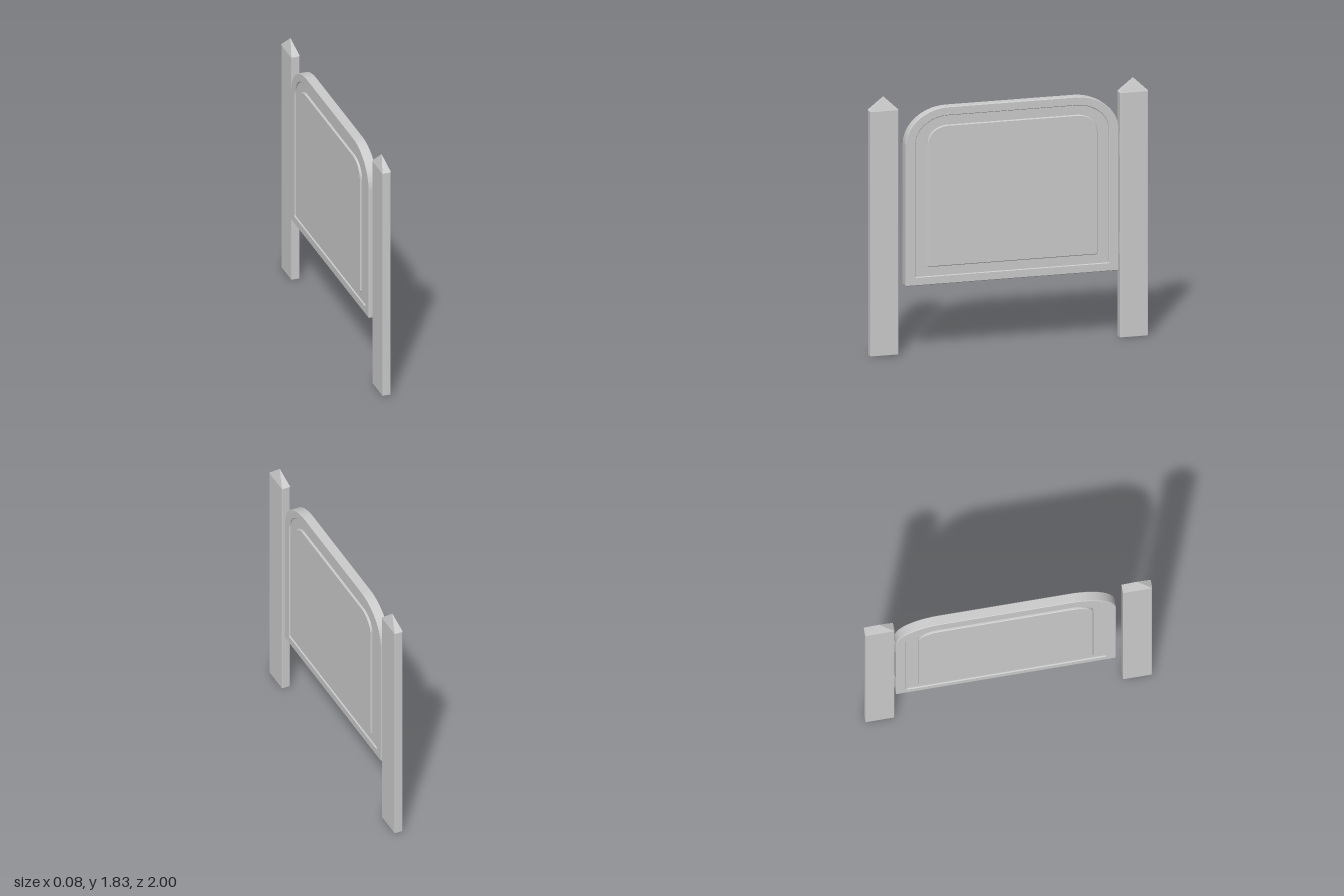
import * as THREE from 'three';
import { RoundedBoxGeometry } from 'three/addons/geometries/RoundedBoxGeometry.js';

const grey = new THREE.MeshStandardMaterial({ color: 0xcccccc });
grey.name = 'plain grey';

// Trace a panel outline (z across, y up) with elliptical top and small bottom corners
function outline(path, z0, z1, y0, y1, rz, ry, foot) {
  path.moveTo(z0 + foot, y0);
  path.lineTo(z1 - foot, y0);
  path.absellipse(z1 - foot, y0 + foot, foot, foot, -Math.PI / 2, 0, false, 0);
  path.lineTo(z1, y1 - ry);
  path.absellipse(z1 - rz, y1 - ry, rz, ry, 0, Math.PI / 2, false, 0);
  path.lineTo(z0 + rz, y1);
  path.absellipse(z0 + rz, y1 - ry, rz, ry, Math.PI / 2, Math.PI, false, 0);
  path.lineTo(z0, y0 + foot);
  path.absellipse(z0 + foot, y0 + foot, foot, foot, Math.PI, Math.PI * 1.5, false, 0);
  return path;
}

// Extrude an outline into a slab of the given full thickness, facing along x
function slab(shape, thickness, bevel) {
  const geo = new THREE.ExtrudeGeometry(shape, {
    depth: thickness - 2 * bevel, bevelEnabled: bevel > 0, bevelThickness: bevel,
    bevelSize: bevel, bevelOffset: -bevel, bevelSegments: 1, curveSegments: 10,
  });
  geo.translate(0, 0, bevel - thickness / 2);
  geo.rotateY(-Math.PI / 2);
  return geo;
}

function add(parent, name, geometry, x = 0, y = 0, z = 0) {
  const mesh = new THREE.Mesh(geometry, grey);
  mesh.name = name;
  mesh.position.set(x, y, z);
  parent.add(mesh);
  return mesh;
}

// Post with softened edges and a pointed cap
function makePost(name, z) {
  const post = new THREE.Group();
  post.name = name;
  const width = 0.204, depth = 0.062, height = 1.735, tip = 0.095;
  add(post, 'postShaft', new RoundedBoxGeometry(depth, height, width, 1, 0.006), 0, height / 2, 0);
  const cap = new THREE.ConeGeometry(Math.SQRT1_2, tip, 4, 1, false).toNonIndexed();
  cap.rotateY(Math.PI / 4);
  cap.scale(depth, 1, width);
  cap.computeVertexNormals();
  add(post, 'postCap', cap, 0, height - 0.001 + tip / 2, 0);
  post.position.z = z;
  return post;
}

export function createModel() {
  const model = new THREE.Group();
  model.name = 'gate';
  model.add(makePost('latchPost', 0.898), makePost('hingePost', -0.896));

  const door = new THREE.Group();
  door.name = 'door';
  door.position.x = -0.002;
  model.add(door);

  // Outer frame with an arched opening
  const frame = outline(new THREE.Shape(), -0.786, 0.747, 0.48, 1.728, 0.31, 0.255, 0.008);
  frame.holes.push(outline(new THREE.Path(), -0.715, 0.675, 0.54, 1.667, 0.235, 0.19, 0.008));
  add(door, 'doorFrame', slab(frame, 0.07, 0.004));

  // Sunken sheet behind the frame opening
  const sheet = outline(new THREE.Shape(), -0.73, 0.69, 0.525, 1.68, 0.25, 0.2, 0.01);
  add(door, 'sunkenSheet', slab(sheet, 0.05, 0));

  // Raised centre panel on both faces
  const panel = outline(new THREE.Shape(), -0.63, 0.588, 0.606, 1.6, 0.145, 0.12, 0.01);
  add(door, 'raisedPanel', slab(panel, 0.08, 0.005));

  // Hinge leaves between door and post
  for (const y of [0.665, 1.365]) {
    add(model, 'hinge', new THREE.BoxGeometry(0.04, 0.15, 0.016), 0, y, -0.79);
  }
  return model;
}
